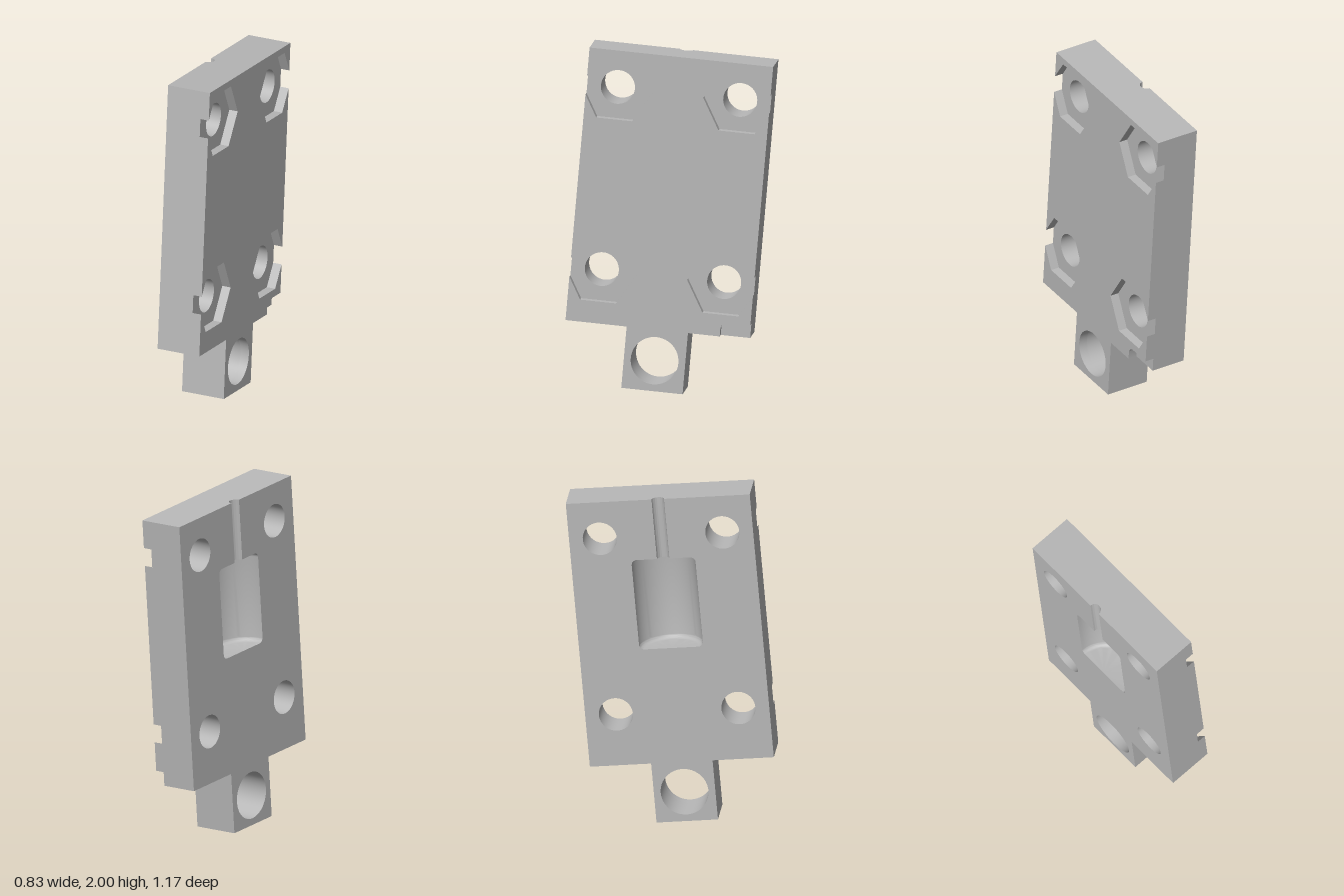
import * as THREE from 'three';
import { toCreasedNormals } from 'three/addons/utils/BufferGeometryUtils.js';

const W = 1.06, H = 1.589, T = 0.265;      // plate
const D = 0.053;                           // depth of the front recesses
const TAB = 0.177, TAB_H = 0.357;          // tab half width and height
const CX = 0.353, ROWS = [H - 0.22, H - 1.282], HOLE_R = 0.098; // bolt holes
const HEX_R = 0.208, HEX_A = HEX_R * Math.sqrt(3) / 2;
const EYE_Y = -0.18, EYE_R = 0.1375;       // tab hole

const v = (x, y) => new THREE.Vector2(x, y);
const mirror = pts => pts.map(p => v(-p.x, p.y)).reverse();

// Points of an arc from angle a0 to a1
function arc(cx, cy, r, a0, a1, n = 8) {
  return Array.from({ length: n + 1 }, (_, i) => {
    const a = a0 + (a1 - a0) * i / n;
    return v(cx + r * Math.cos(a), cy + r * Math.sin(a));
  });
}
const circle = (x, y, r) => arc(x, y, r, 2 * Math.PI, 0, 48);

// Straight walls standing on a polyline, outward side on its right
function wall(pts, z0, z1) {
  const pos = [];
  for (let i = 0; i < pts.length - 1; i++) {
    const a = pts[i], b = pts[i + 1];
    pos.push(a.x, a.y, z0, b.x, b.y, z0, b.x, b.y, z1);
    pos.push(a.x, a.y, z0, b.x, b.y, z1, a.x, a.y, z1);
  }
  const g = new THREE.BufferGeometry();
  g.setAttribute('position', new THREE.Float32BufferAttribute(pos, 3));
  return toCreasedNormals(g, 0.5);
}

function shapeOf(pts, holes = []) {
  const s = new THREE.Shape(pts);
  s.holes = holes.map(h => new THREE.Path(h));
  return s;
}

// Left edge of a hexagonal recess that breaks through the plate side
function hexBite(cy) {
  const e = (HEX_R - (W / 2 - CX)) * Math.sqrt(3);
  return [
    v(-W / 2, cy + e), v(-CX - HEX_R / 2, cy + HEX_A), v(-CX + HEX_R / 2, cy + HEX_A),
    v(-CX + HEX_R, cy), v(-CX + HEX_R / 2, cy - HEX_A), v(-CX - HEX_R / 2, cy - HEX_A),
    v(-W / 2, cy - e),
  ];
}

export function createModel() {
  const grey = new THREE.MeshStandardMaterial({ color: 0xb8b8b8 });
  grey.name = 'grey';
  const plate = new THREE.Group();
  plate.name = 'mountingPlate';
  const add = (name, geo) => {
    const m = new THREE.Mesh(geo, grey);
    m.name = name;
    plate.add(m);
    return m;
  };

  const tab = [v(-TAB, 0), v(-TAB, -TAB_H), v(TAB, -TAB_H), v(TAB, 0)];
  const outline = [v(-W / 2, H), v(-W / 2, 0), ...tab, v(W / 2, 0), v(W / 2, H)];
  const eye = circle(0, EYE_Y, EYE_R);
  const boltHoles = ROWS.flatMap(y => [circle(-CX, y, HOLE_R), circle(CX, y, HOLE_R)]);
  const holes = [eye, ...boltHoles];

  // Half profile of the round cavity and its stem, from the top down
  const g = 0.036, R = 0.184, f = 0.03, yT = H - 0.36, yB = H - 0.9;
  const profile = [
    v(g, H), v(g, yT),
    ...arc(R - f, yT - f, f, Math.PI / 2, 0),
    ...arc(R - f, yB + f, f, 0, -Math.PI / 2),
    v(0, yB),
  ];

  // Plate body: recess floor, outer walls, back with the cavity opening, top edge
  add('recessFloor', new THREE.ShapeGeometry(shapeOf(outline, holes))).position.z = T - D;
  add('plateSides', wall(outline, 0, T - D));
  const backPts = [...outline, ...profile.slice(0, -1), ...mirror(profile.slice(0, -1))];
  add('plateBack', new THREE.ShapeGeometry(shapeOf(backPts, holes)).rotateY(Math.PI));
  const topPts = [
    v(-W / 2, 0), v(-W / 2, D - T), v(W / 2, D - T), v(W / 2, 0),
    ...arc(0, 0, g, 0, -Math.PI, 24),
  ];
  add('plateTop', new THREE.ShapeGeometry(shapeOf(topPts)).rotateX(-Math.PI / 2)).position.y = H;
  holes.forEach((h, i) => add(i ? 'boltHole' : 'tabHole', wall(h, 0, T - D)));

  // Half-round cavity in the back
  add('backCavity', toCreasedNormals(
    new THREE.LatheGeometry(profile, 40, -Math.PI / 2, Math.PI), 0.6));

  // Front layer, cut by four hexagonal recesses and a corner notch
  const nx = 0.36, nh = 0.082, nr = 0.04;
  const left = ROWS.flatMap(hexBite);
  const frontPts = [
    v(-W / 2, H), ...left, v(-W / 2, 0), ...tab,
    v(nx, 0), ...arc(nx + nr, nh - nr, nr, Math.PI, Math.PI / 2), v(W / 2, nh),
    ...mirror(left), v(W / 2, H),
  ];
  add('frontFace', new THREE.ShapeGeometry(shapeOf(frontPts, [eye]))).position.z = T;
  add('frontLayerWalls', wall([...frontPts, frontPts[0]], T - D, T));
  add('tabHoleFront', wall(eye, T - D, T));

  // Tilt and turn, then centre on the ground
  plate.rotation.set(0, Math.PI / 3, -5 * Math.PI / 180);
  const model = new THREE.Group();
  model.name = 'model';
  model.add(plate);
  model.updateMatrixWorld(true);
  const box = new THREE.Box3().setFromObject(model, true);
  const c = box.getCenter(new THREE.Vector3());
  plate.position.set(-c.x, -box.min.y, -c.z);
  return model;
}
